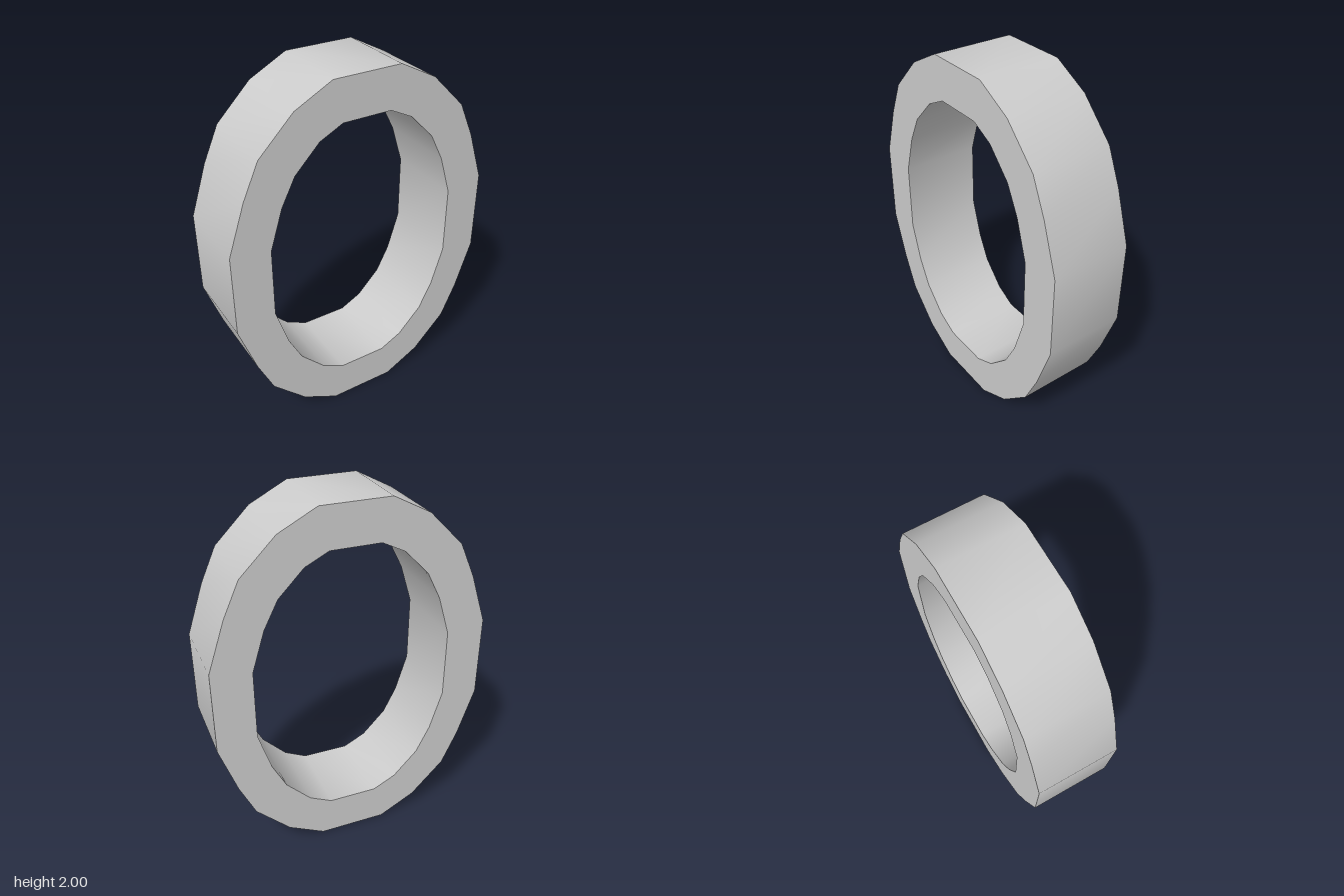
import * as THREE from 'three';
import { toCreasedNormals } from 'three/addons/utils/BufferGeometryUtils.js';

const DEPTH = 0.45;

// One quadrant of each outline, from the side up to the top, about the ring's centre
const OUTER = [[0.766, 0.232], [0.672, 0.511], [0.585, 0.703], [0.395, 0.893], [0.19, 1]];
const INNER = [[0.548, 0.195], [0.479, 0.418], [0.402, 0.57], [0.265, 0.711], [0.137, 0.775]];

// Mirror a quadrant into a closed counter-clockwise outline
function outline(quadrant) {
  const back = [...quadrant].reverse();
  return [
    ...quadrant,
    ...back.map(([x, y]) => [-x, y]),
    ...quadrant.map(([x, y]) => [-x, -y]),
    ...back.map(([x, y]) => [x, -y]),
  ].map(([x, y]) => new THREE.Vector2(x, y));
}

export function createModel() {
  const group = new THREE.Group();
  group.name = 'ovalRing';

  // Flat oval band; the opening runs clockwise so its wall faces inwards
  const shape = new THREE.Shape(outline(OUTER));
  shape.holes.push(new THREE.Path(outline(INNER).reverse()));
  const extruded = new THREE.ExtrudeGeometry(shape, { depth: DEPTH, bevelEnabled: false });
  extruded.translate(0, 1, -DEPTH / 2);

  // Smooth walls, sharp rims
  const geometry = toCreasedNormals(extruded, Math.PI / 4);
  const ring = new THREE.Mesh(geometry, new THREE.MeshStandardMaterial({ color: 0xcccccc }));
  ring.name = 'ring';
  group.add(ring);
  return group;
}
